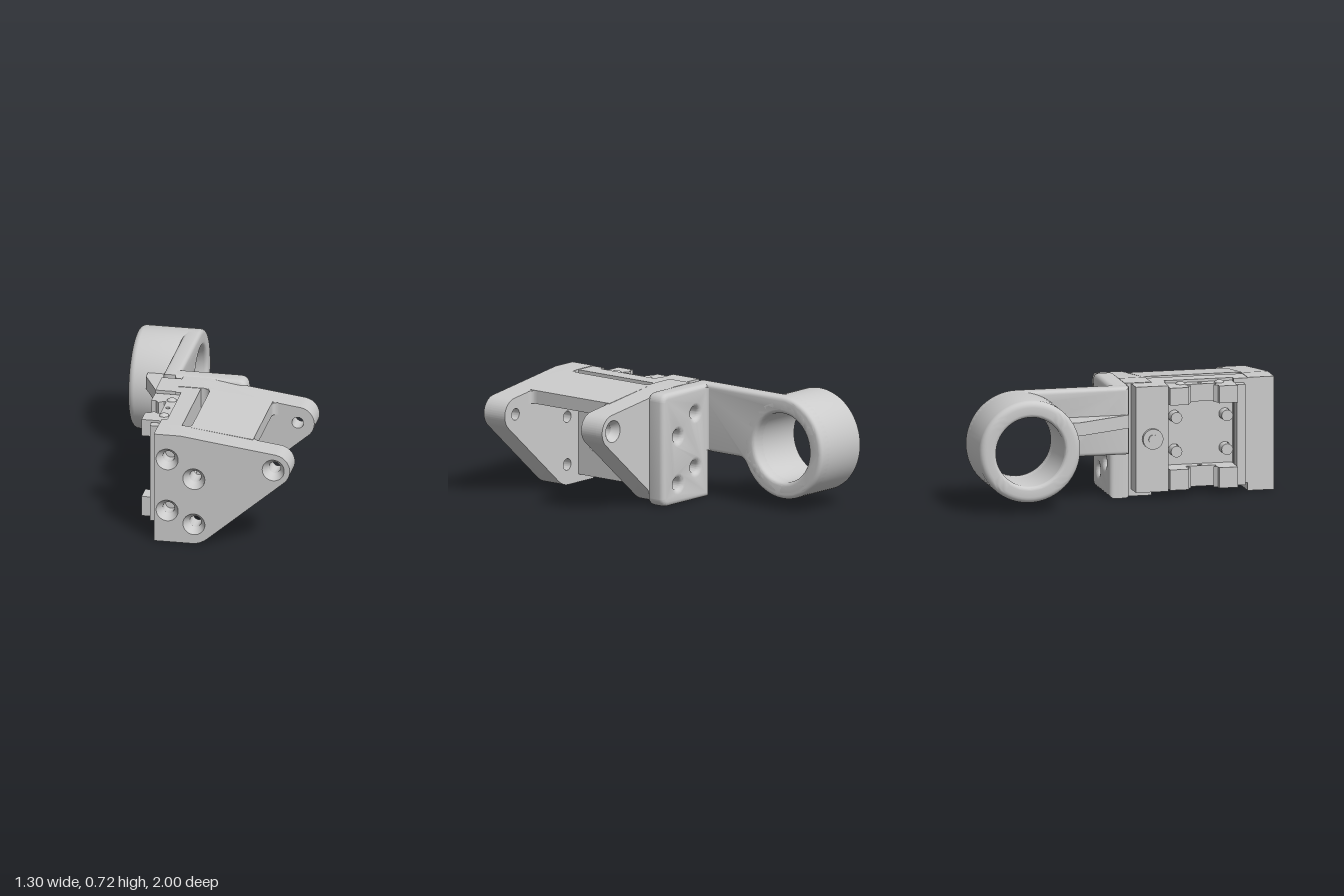
import * as THREE from 'three';
import { toCreasedNormals } from 'three/addons/utils/BufferGeometryUtils.js';

export function createModel() {
  const model = new THREE.Group();
  const mat = new THREE.MeshStandardMaterial({ color: 0xcccccc });
  const matDouble = new THREE.MeshStandardMaterial({ color: 0xcccccc, side: THREE.DoubleSide });

  function add(name, geo, material = mat) {
    const mesh = new THREE.Mesh(geo, material);
    mesh.name = name;
    model.add(mesh);
    return mesh;
  }
  const poly = pts => new THREE.Shape(pts.map(p => new THREE.Vector2(p[0], p[1])));
  const circle = (x, y, r) => new THREE.Path().absarc(x, y, r, 0, Math.PI * 2, true);

  // Extrude from a to b; bevel rounds the edges inside that span
  function extrude(shape, a, b, bevel = 0) {
    const geo = new THREE.ExtrudeGeometry(shape, {
      depth: b - a - 2 * bevel, curveSegments: 20, bevelEnabled: bevel > 0,
      bevelSize: bevel, bevelThickness: bevel, bevelSegments: 4,
    });
    return toCreasedNormals(geo.translate(0, 0, a + bevel), 0.5);
  }
  // Shapes drawn in (x, z), extruded along y
  const alongY = (shape, y0, y1) => extrude(shape, -y1, -y0).rotateX(Math.PI / 2);
  // Shapes drawn in (z, y), extruded along x
  const alongX = (shape, x0, x1, bevel) => extrude(shape, -x1, -x0, bevel).rotateY(-Math.PI / 2);
  const box = (name, x0, x1, y0, y1, z0, z1) => add(name,
    new THREE.BoxGeometry(x1 - x0, y1 - y0, z1 - z0)
      .translate((x0 + x1) / 2, (y0 + y1) / 2, (z0 + z1) / 2));
  // Concave fillet in an inner corner, seen from above
  function fillet(name, x, z, dx, dz, y0, y1) {
    const s = new THREE.Shape();
    s.moveTo(x, z);
    s.lineTo(x + dx, z);
    s.quadraticCurveTo(x, z, x, z + dz);
    add(name, alongY(s, y0, y1));
  }
  // Cylinder lying along x
  const pin = (name, r, x0, x1, y, z) => add(name, toCreasedNormals(
    new THREE.CylinderGeometry(r, r, x1 - x0, 24).rotateZ(Math.PI / 2).translate((x0 + x1) / 2, y, z), 0.5));

  // Tapered side plates
  const tip = [0.545, 0.535];
  const mounts = [[-0.13, 0.555], [-0.13, 0.21], [0.04, 0.435], [0.04, 0.13]];
  const allHoles = [...mounts, tip];
  function plateShape(holes, r) {
    const s = new THREE.Shape();
    s.moveTo(-0.215, 0);
    s.lineTo(0.03, 0);
    s.quadraticCurveTo(0.081, 0, 0.13, 0.042);
    s.lineTo(0.613, 0.455);
    s.absarc(tip[0], tip[1], 0.105, -0.864, 1.444, false);
    s.lineTo(-0.05, 0.72);
    s.lineTo(-0.215, 0.72);
    holes.forEach(h => s.holes.push(circle(h[0], h[1], r(h))));
    return s;
  }
  // Open cone lining a countersunk hole, wide end at zWide
  function countersink([x, y], zWide, zNarrow) {
    const geo = new THREE.CylinderGeometry(0.07, 0.037, Math.abs(zWide - zNarrow), 32, 1, true)
      .rotateX(Math.sign(zWide - zNarrow) * Math.PI / 2)
      .translate(x, y, (zWide + zNarrow) / 2);
    add('countersink', geo, matDouble);
  }
  const small = () => 0.037;
  add('frontPlate', extrude(plateShape(allHoles, small), 0.83, 0.95));
  add('frontPlateFace', extrude(plateShape(allHoles, () => 0.07), 0.95, 1));
  allHoles.forEach(h => countersink(h, 1, 0.95));
  add('backPlate', extrude(plateShape(allHoles, small), 0.09, 0.21));
  add('backPlateFace', extrude(plateShape(allHoles, h => (h === tip ? 0.07 : 0.037)), 0.04, 0.09));
  countersink(tip, 0.04, 0.09);

  // Sloped top web joining the plates, with rounded inner corners
  add('topWeb', extrude(poly([[-0.01, 0.58], [0.385, 0.58], [0.385, 0.665], [-0.01, 0.715]]), 0.2, 0.84));
  fillet('webFillet', 0.385, 0.21, 0.04, 0.04, 0.58, 0.66);
  fillet('webFillet', 0.385, 0.83, 0.04, -0.04, 0.58, 0.66);
  fillet('slotFillet', -0.01, 0.21, -0.05, 0.04, 0.58, 0.715);
  fillet('slotFillet', -0.01, 0.83, -0.05, -0.04, 0.58, 0.715);

  // Carriage block in the slot, drilled for four pins
  const pinHoles = [];
  for (const z of [0.365, 0.69]) for (const y of [0.275, 0.49]) pinHoles.push([z, y]);
  const blockShape = r => {
    const s = poly([[0.17, 0.05], [0.87, 0.05], [0.87, 0.717], [0.17, 0.717]]);
    pinHoles.forEach(h => s.holes.push(circle(h[0], h[1], r)));
    return s;
  };
  add('carriageBlock', alongX(blockShape(0.037), -0.18, -0.1));
  add('carriageFace', alongX(blockShape(0.065), -0.1, -0.07));
  pinHoles.forEach(([z, y]) => pin('carriagePin', 0.036, -0.25, -0.1, y, z));
  box('carriageEdge', -0.215, -0.17, 0.05, 0.717, 0.74, 0.865);
  box('carriageEdge', -0.215, -0.17, 0.05, 0.717, 0.17, 0.3);
  box('endTab', -0.28, -0.2, 0.05, 0.69, 0.745, 0.8);

  // Clamp bar with its centre bolt
  box('clampBar', -0.345, -0.2, 0.045, 0.717, 0.08, 0.29);
  pin('clampBolt', 0.065, -0.37, -0.34, 0.385, 0.185);
  pin('clampBoltTip', 0.03, -0.378, -0.36, 0.385, 0.185);

  // Upper and lower jaws, each with two screws
  const jaw = poly([[-0.345, 0.3], [-0.175, 0.3], [-0.175, 0.735], [-0.345, 0.735],
    [-0.345, 0.615], [-0.315, 0.615], [-0.295, 0.59], [-0.265, 0.615], [-0.25, 0.615],
    [-0.25, 0.42], [-0.265, 0.42], [-0.295, 0.445], [-0.315, 0.42], [-0.345, 0.42]]);
  jaw.holes.push(circle(-0.22, 0.52, 0.014));
  for (const [y0, y1, out] of [[0.59, 0.7, 0.7], [0.05, 0.18, 0.05]]) {
    add('jaw', alongY(jaw, y0, y1));
    for (const z of [0.395, 0.645]) {
      const screw = add('jawScrew', new THREE.SphereGeometry(0.03, 20, 12));
      screw.scale.y = 0.5;
      screw.position.set(-0.22, out, z);
    }
  }

  // Arm foot plate; the bevel also countersinks its holes
  const foot = new THREE.Shape();
  foot.moveTo(-0.24, 0.03);
  foot.lineTo(0.13, 0.03);
  foot.quadraticCurveTo(0.16, 0.03, 0.16, 0.06);
  foot.lineTo(0.16, 0.66);
  foot.quadraticCurveTo(0.16, 0.69, 0.13, 0.69);
  foot.lineTo(-0.24, 0.69);
  mounts.forEach(h => foot.holes.push(circle(h[0], h[1], 0.067)));
  add('armFoot', extrude(foot, -0.07, 0.06, 0.03));

  // Arm running back to the ring
  const cz = -0.67, cy = 0.395, e = 0.025;
  const arm = new THREE.Shape();
  arm.moveTo(0.035 - e, 0.29 + e);
  arm.lineTo(0.035 - e, 0.72 - e);
  arm.lineTo(cz, 0.72 - e);
  arm.absarc(cz, cy, 0.325 - e, Math.PI / 2, Math.PI * 2 - 0.5, false);
  arm.quadraticCurveTo(-0.375, 0.29 + e, -0.32, 0.29 + e);
  arm.holes.push(circle(cz, cy, 0.22 + e));
  add('arm', alongX(arm, -0.35, -0.245, e));
  fillet('armFillet', -0.25, -0.065, 0.04, -0.04, 0.3, 0.7);
  fillet('ringFillet', -0.345, -0.37, 0.01, 0.08, 0.3, 0.69);

  // Ring with rounded rims
  const profile = [];
  const corner = (r, x, a0, rad) => {
    for (let i = 0; i <= 5; i++) {
      const a = a0 + (i / 5) * Math.PI / 2;
      profile.push(new THREE.Vector2(r + Math.cos(a) * rad, x + Math.sin(a) * rad));
    }
  };
  corner(0.285, 0.285, -Math.PI / 2, 0.04);
  corner(0.285, 0.61, 0, 0.04);
  corner(0.245, 0.625, Math.PI / 2, 0.025);
  corner(0.245, 0.27, Math.PI, 0.025);
  profile.push(profile[0].clone());
  add('ring', toCreasedNormals(new THREE.LatheGeometry(profile, 64), 0.5)
    .rotateZ(Math.PI / 2).translate(0, cy, cz));

  // Triangular gusset bracing the ring
  add('gusset', alongY(poly([[-0.34, 0.035], [-0.35, 0.035], [-0.525, -0.32], [-0.525, -0.4], [-0.34, -0.4]]), 0.46, 0.545));

  return model;
}
